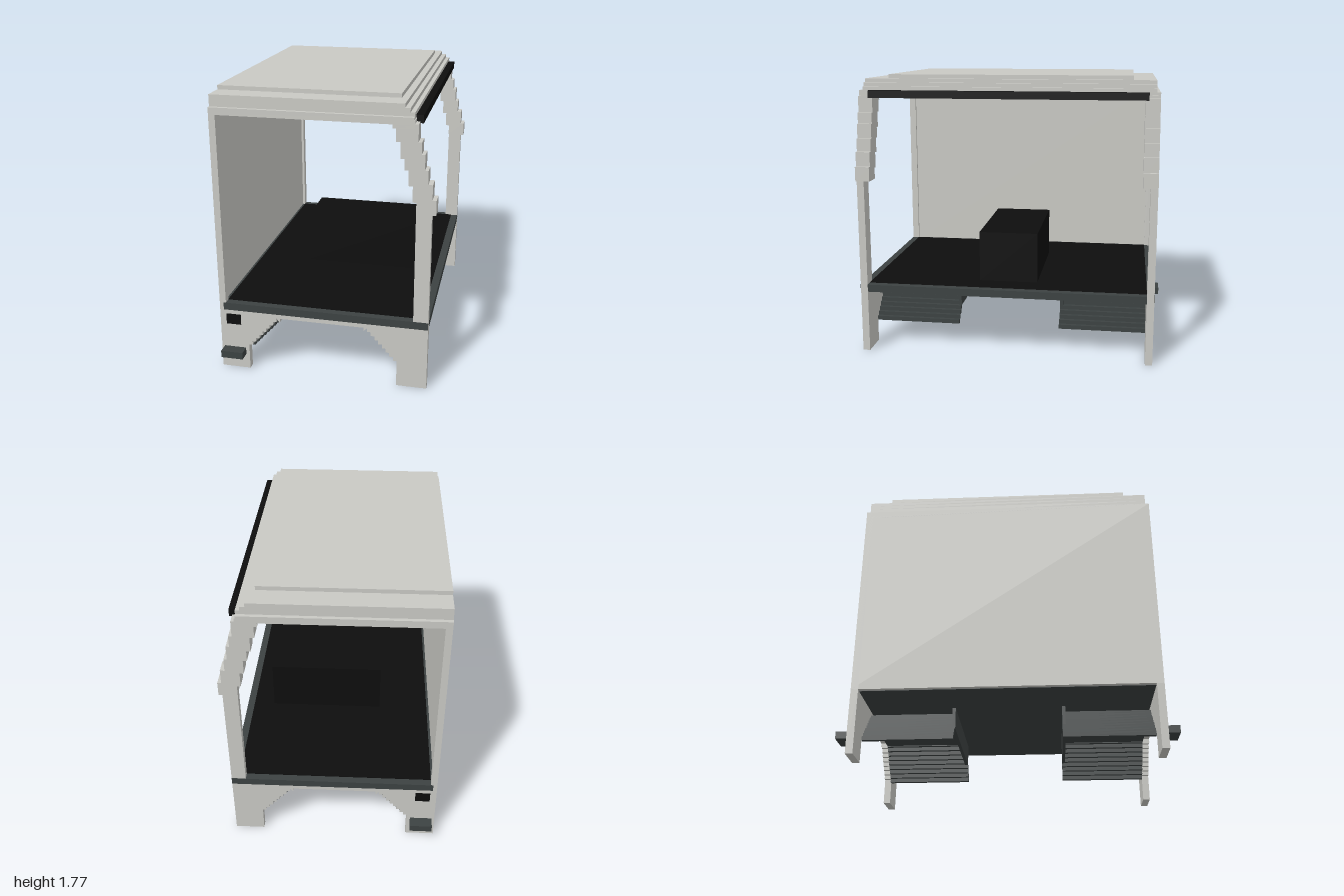
import * as THREE from 'three';

const paint = (name, color) => {
  const m = new THREE.MeshStandardMaterial({ color });
  m.name = name;
  return m;
};

export function createModel() {
  const model = new THREE.Group();
  model.name = 'openCart';
  const cream = paint('paleGrey', 0xc9c9c4);
  const slate = paint('darkSlate', 0x3c4242);
  const black = paint('black', 0x0d0d0d);
  const lining = paint('brownLining', 0x857c65);

  // Box given by its limits on each axis
  const box = (name, mat, x0, x1, y0, y1, z0, z1) => {
    const mesh = new THREE.Mesh(new THREE.BoxGeometry(x1 - x0, y1 - y0, z1 - z0), mat);
    mesh.position.set((x0 + x1) / 2, (y0 + y1) / 2, (z0 + z1) / 2);
    mesh.name = name;
    model.add(mesh);
  };
  // The same box at both ends of the body
  const pair = (name, mat, x0, x1, y0, y1, z0, z1) => {
    box(name, mat, x0, x1, y0, y1, z0, z1);
    box(name, mat, x0, x1, y0, y1, -z1, -z0);
  };

  // Floor, mat and central box
  box('floor', slate, -0.635, 0.637, 0.397, 0.444, -0.932, 0.932);
  box('floorMat', black, -0.62, 0.59, 0.442, 0.447, -0.885, 0.885);
  box('centralBox', black, -0.29, 0.45, 0.445, 0.77, -0.188, 0.188);

  // Closed side wall and its corner pillars
  box('sideWall', cream, -0.66, -0.637, 0.4, 1.675, -0.93, 0.93);
  pair('cornerPillar', cream, -0.66, -0.62, 0.4, 1.675, 0.885, 0.93);

  // Roof: end rails, stacked slabs stepping inward, lining and dark edge strip
  pair('roofRail', cream, -0.66, 0.525, 1.632, 1.675, 0.84, 0.93);
  box('wallRail', cream, -0.66, -0.62, 1.632, 1.675, -0.9, 0.9);
  [[0.525, 1.65, 1.698], [0.5, 1.698, 1.722], [0.47, 1.722, 1.745]].forEach(([x, y0, y1]) =>
    box('roofSlab', cream, -0.66, x, y0, y1, -0.907, 0.907));
  box('roofTop', cream, -0.66, 0.43, 1.745, 1.77, -0.767, 0.767);
  box('roofLining', lining, -0.62, 0.52, 1.643, 1.651, -0.84, 0.84);
  box('roofEdgeStrip', black, 0.522, 0.568, 1.63, 1.676, -0.862, 0.862);

  // Open-side posts with stepped upper curve
  pair('sidePost', cream, 0.547, 0.637, 0.4, 1.2, 0.885, 0.93);
  [
    [0.405, 0.53, 1.61, 1.66], [0.425, 0.55, 1.535, 1.64], [0.452, 0.57, 1.44, 1.54],
    [0.476, 0.59, 1.375, 1.47], [0.5, 0.61, 1.285, 1.38], [0.525, 0.637, 1.19, 1.3],
    [0.549, 0.66, 1.12, 1.21],
  ].forEach(([x0, x1, y0, y1]) => pair('postStep', cream, x0, x1, y0, y1, 0.84, 0.93));

  // Lower end panels with stepped wheel arch
  const steps = 9, dx = 0.0228, dy = 0.0253;
  const archL = -0.48, archR = 0.453, archY = 0.142;
  const left = [], right = [];
  for (let i = 0; i <= steps; i++) {
    const y = archY + (i + 1) * dy;
    const top = Math.min(y, 0.37);
    left.push([archL + i * dx, top - dy], [archL + i * dx, top]);
    right.unshift([archR - i * dx, top], [archR - i * dx, top - dy]);
  }
  const outline = [[-0.66, 0], [archL, 0], ...left, ...right, [archR, 0], [0.637, 0], [0.637, 0.4], [-0.66, 0.4]];
  const panelShape = new THREE.Shape(outline.map(([x, y]) => new THREE.Vector2(x, y)));
  const panelGeo = new THREE.ExtrudeGeometry(panelShape, { depth: 0.045, bevelEnabled: false });
  for (const z of [0.885, -0.93]) {
    const panel = new THREE.Mesh(panelGeo, cream);
    panel.position.z = z;
    panel.name = 'lowerEndPanel';
    model.add(panel);
  }

  // Wheel housings: stepped sides, flat top and inner wall
  for (let i = 0; i < steps; i++) {
    const y = archY + i * dy;
    pair('housingStep', slate, archL + i * dx, archL + (i + 1) * dx + 0.002, y, y + dy + 0.002, 0.33, 0.885);
    pair('housingStep', slate, archR - (i + 1) * dx - 0.002, archR - i * dx, y, y + dy + 0.002, 0.33, 0.885);
  }
  pair('housingTop', slate, archL + steps * dx, archR - steps * dx, 0.35, 0.374, 0.33, 0.885);
  pair('housingInnerWall', slate, -0.39, 0.365, 0.24, 0.374, 0.33, 0.35);

  // Lamps and bumper blocks at both ends
  pair('lamp', black, -0.62, -0.527, 0.302, 0.37, 0.927, 0.934);
  pair('bumperBlock', slate, -0.642, -0.503, 0.097, 0.142, 0.93, 1.0);

  return model;
}
